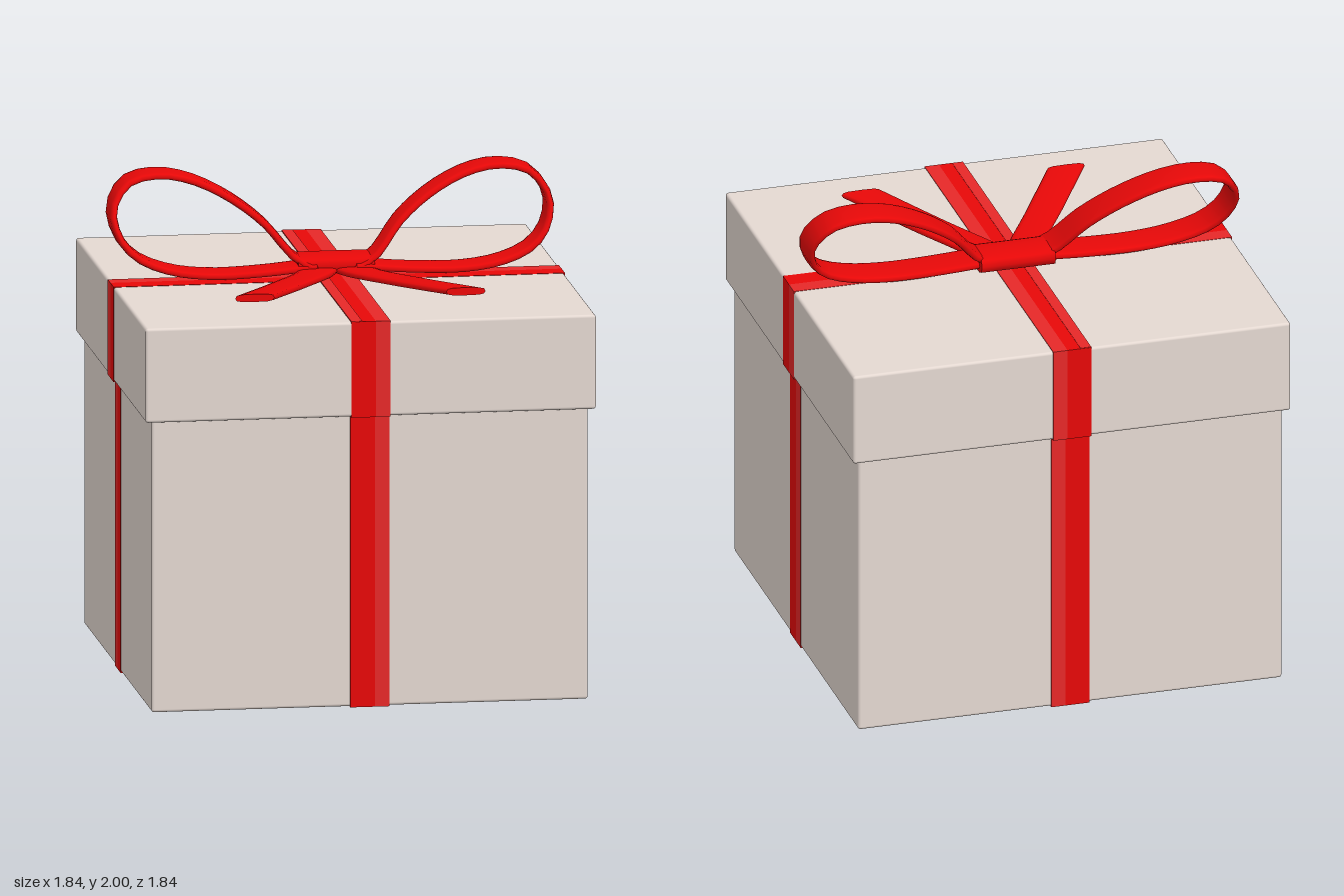
import * as THREE from 'three';
import { RoundedBoxGeometry } from 'three/addons/geometries/RoundedBoxGeometry.js';

const mat = (name, color) => {
  const m = new THREE.MeshStandardMaterial({ color });
  m.name = name;
  return m;
};

// Rounded flat band swept along a curve: width runs along the fixed direction "across"
function sweepBand(curve, across, halfWidth, halfThick, steps) {
  const sides = 12, pos = [], idx = [];
  for (let i = 0; i <= steps; i++) {
    const p = curve.getPointAt(i / steps);
    const n = new THREE.Vector3().crossVectors(curve.getTangentAt(i / steps), across).normalize();
    for (let j = 0; j < sides; j++) {
      const a = (j / sides) * Math.PI * 2, c = Math.cos(a), s = Math.sin(a);
      const w = Math.sign(c) * Math.pow(Math.abs(c), 0.6) * halfWidth;
      const t = Math.sign(s) * Math.pow(Math.abs(s), 0.6) * halfThick;
      const v = p.clone().addScaledVector(across, w).addScaledVector(n, t);
      pos.push(v.x, v.y, v.z);
    }
  }
  for (let i = 0; i < steps; i++) {
    for (let j = 0; j < sides; j++) {
      const a = i * sides + j, b = i * sides + (j + 1) % sides;
      idx.push(a, b, a + sides, b, b + sides, a + sides);
    }
  }
  // end caps with their own corners so the cut stays crisp
  for (const end of [0, steps]) {
    const base = pos.length / 3;
    pos.push(...pos.slice(end * sides * 3, (end + 1) * sides * 3));
    for (let j = 1; j < sides - 1; j++) {
      idx.push(base, base + (end ? j : j + 1), base + (end ? j + 1 : j));
    }
  }
  const g = new THREE.BufferGeometry();
  g.setAttribute('position', new THREE.Float32BufferAttribute(pos, 3));
  g.setIndex(idx);
  g.computeVertexNormals();
  return g;
}

// Thin ring that follows the outline of the body and the lid
function wrapGeometry(from, to, e) {
  const outline = (o) => [
    [-0.889 - o, 0.003 - o], [0.889 + o, 0.003 - o], [0.889 + o, 1.2 - o], [0.918 + o, 1.2 - o],
    [0.918 + o, 1.588 + o], [-0.918 - o, 1.588 + o], [-0.918 - o, 1.2 - o], [-0.889 - o, 1.2 - o],
  ].map(([x, y]) => new THREE.Vector2(x, y));
  const shape = new THREE.Shape(outline(e));
  shape.holes.push(new THREE.Path(outline(-0.003)));
  const g = new THREE.ExtrudeGeometry(shape, { depth: to - from, bevelEnabled: false });
  g.translate(0, 0, from);
  return g;
}

export function createModel() {
  const model = new THREE.Group();
  model.name = 'giftBox';
  const grey = mat('warm grey card', 0xe4d8d1);
  const red = mat('ribbon red', 0xe80808);
  const lightRed = mat('ribbon light red', 0xe62828);
  const add = (name, geo, material, parent = model) => {
    const m = new THREE.Mesh(geo, material);
    m.name = name;
    parent.add(m);
    return m;
  };

  // Box body and overhanging lid
  add('boxBody', new RoundedBoxGeometry(1.778, 1.217, 1.778, 2, 0.012), grey).position.y = 0.6115;
  add('lid', new RoundedBoxGeometry(1.836, 0.388, 1.836, 2, 0.012), grey).position.y = 1.394;

  // Two-tone ribbons wrapped around the box
  const sideWrap = new THREE.Group(), frontWrap = new THREE.Group();
  sideWrap.name = 'sideToSideRibbon';
  frontWrap.name = 'frontToBackRibbon';
  add('ribbonStripe', wrapGeometry(0, 0.085, 0.0015), red, sideWrap);
  add('ribbonLightStripe', wrapGeometry(-0.07, 0, 0.0015), lightRed, sideWrap);
  add('ribbonStripe', wrapGeometry(-0.08, 0.02, 0.003), red, frontWrap);
  add('ribbonLightStripe', wrapGeometry(0.02, 0.08, 0.003), lightRed, frontWrap);
  frontWrap.rotation.y = Math.PI / 2;
  model.add(sideWrap, frontWrap);
  add('ribbonTopStripe', new THREE.BoxGeometry(0.045, 0.003, 1.836), lightRed)
    .position.set(-0.0575, 1.591, 0);

  // Bow
  const bow = new THREE.Group();
  bow.name = 'bow';
  model.add(bow);
  const alongZ = new THREE.Vector3(0, 0, 1), alongX = new THREE.Vector3(1, 0, 0);
  const loopPath = [
    [0.08, 1.62], [0.16, 1.66], [0.28, 1.795], [0.42, 1.897], [0.57, 1.964], [0.7, 1.984], [0.82, 1.957],
    [0.888, 1.86], [0.867, 1.75], [0.8, 1.678], [0.68, 1.63], [0.52, 1.608], [0.3, 1.612], [0.08, 1.63],
  ];
  const tailPath = [[0.06, 1.615, -0.04], [0.09, 1.612, 0.05], [0.24, 1.622, 0.31], [0.43, 1.643, 0.64]];
  for (const side of [1, -1]) {
    const label = side > 0 ? 'left' : 'right';
    // loops lean backwards as they rise
    const loop = new THREE.CatmullRomCurve3(
      loopPath.map(([x, y]) => new THREE.Vector3(side * x, y, -0.03 - (y - 1.6) * 0.56)));
    add(label + 'Loop', sweepBand(loop, alongZ, 0.082, 0.016, 36), red, bow);
    const tail = new THREE.CatmullRomCurve3(
      tailPath.map(([x, y, z]) => new THREE.Vector3(side * x, y, z)));
    add(label + 'Tail', sweepBand(tail, alongX, 0.08, 0.016, 12), red, bow);
  }
  const knotLine = new THREE.LineCurve3(new THREE.Vector3(-0.155, 1.633, -0.067), new THREE.Vector3(0.155, 1.633, -0.067));
  add('knot', sweepBand(knotLine, alongZ, 0.09, 0.038, 4), red, bow);

  return model;
}
